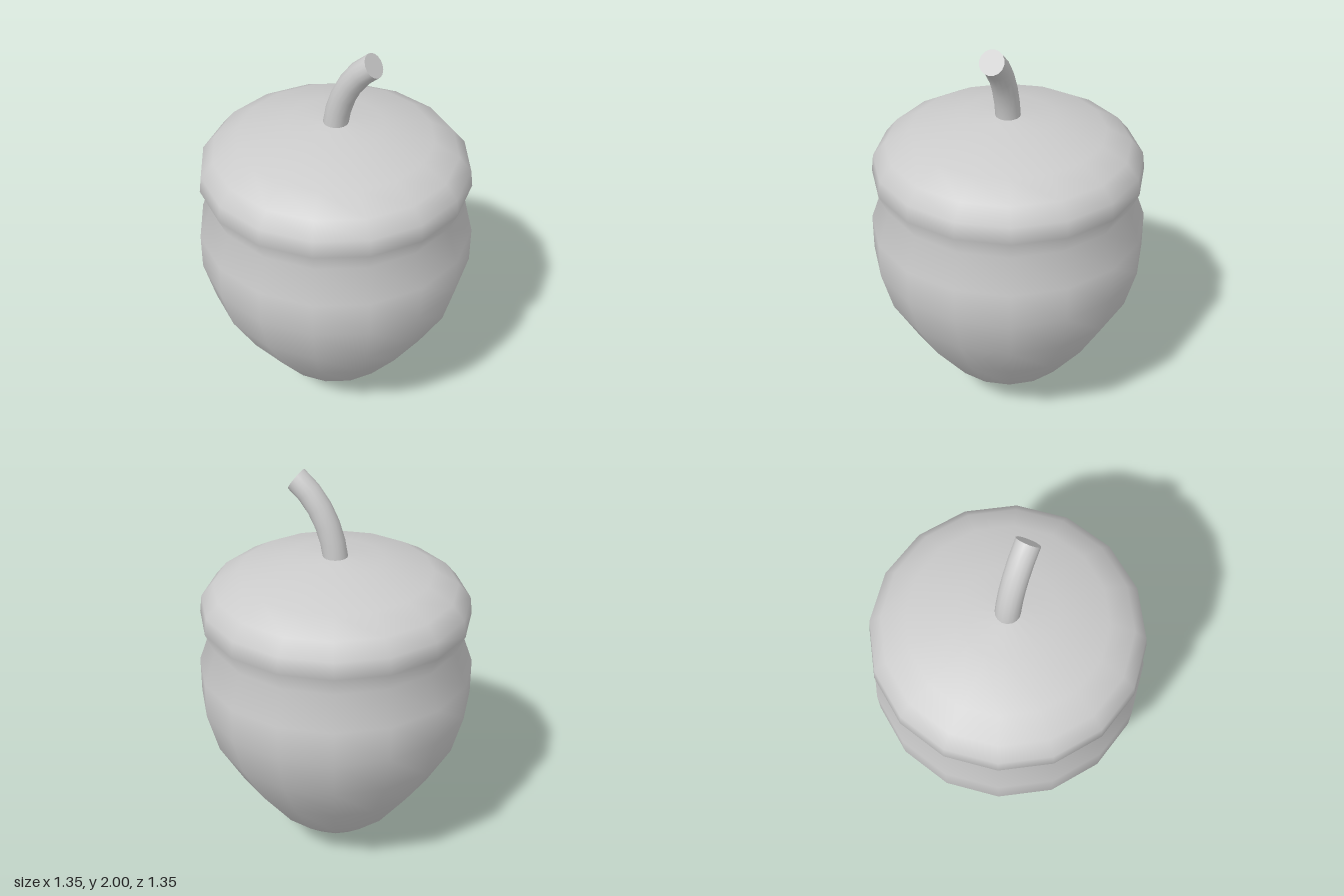
import * as THREE from 'three';

const material = new THREE.MeshStandardMaterial({ color: 0xcccccc });
const SIDES = 16;

function addMesh(parent, name, geometry) {
  const mesh = new THREE.Mesh(geometry, material);
  mesh.name = name;
  parent.add(mesh);
  return mesh;
}

export function createModel() {
  const acorn = new THREE.Group();
  acorn.name = 'acorn';

  // Nut and cap: one smooth turned surface, pinched in where the cap begins
  const profile = [
    [0, 0], [0.185, 0.085], [0.322, 0.202], [0.498, 0.434], [0.62, 0.648],
    [0.675, 0.85], [0.675, 1.03], [0.615, 1.198],
    [0.66, 1.298], [0.65, 1.38], [0.59, 1.452], [0.47, 1.52], [0.233, 1.58], [0, 1.6],
  ].map(([r, y]) => new THREE.Vector2(r, y));
  addMesh(acorn, 'nutAndCap', new THREE.LatheGeometry(profile, SIDES));

  // Stem: short curved tube leaning towards +x
  const stem = new THREE.Group();
  stem.name = 'stem';
  acorn.add(stem);
  const path = new THREE.CubicBezierCurve3(
    new THREE.Vector3(0, 1.58, 0),
    new THREE.Vector3(0.02, 1.75, 0),
    new THREE.Vector3(0.1, 1.88, 0),
    new THREE.Vector3(0.2, 1.95, 0),
  );
  const radius = 0.06;
  addMesh(stem, 'stemTube', new THREE.TubeGeometry(path, 5, radius, SIDES));

  // Flat cut end of the stem
  const end = addMesh(stem, 'stemEnd', new THREE.CircleGeometry(radius, SIDES));
  end.position.copy(path.getPoint(1));
  end.lookAt(path.getPoint(1).add(path.getTangent(1)));

  return acorn;
}
